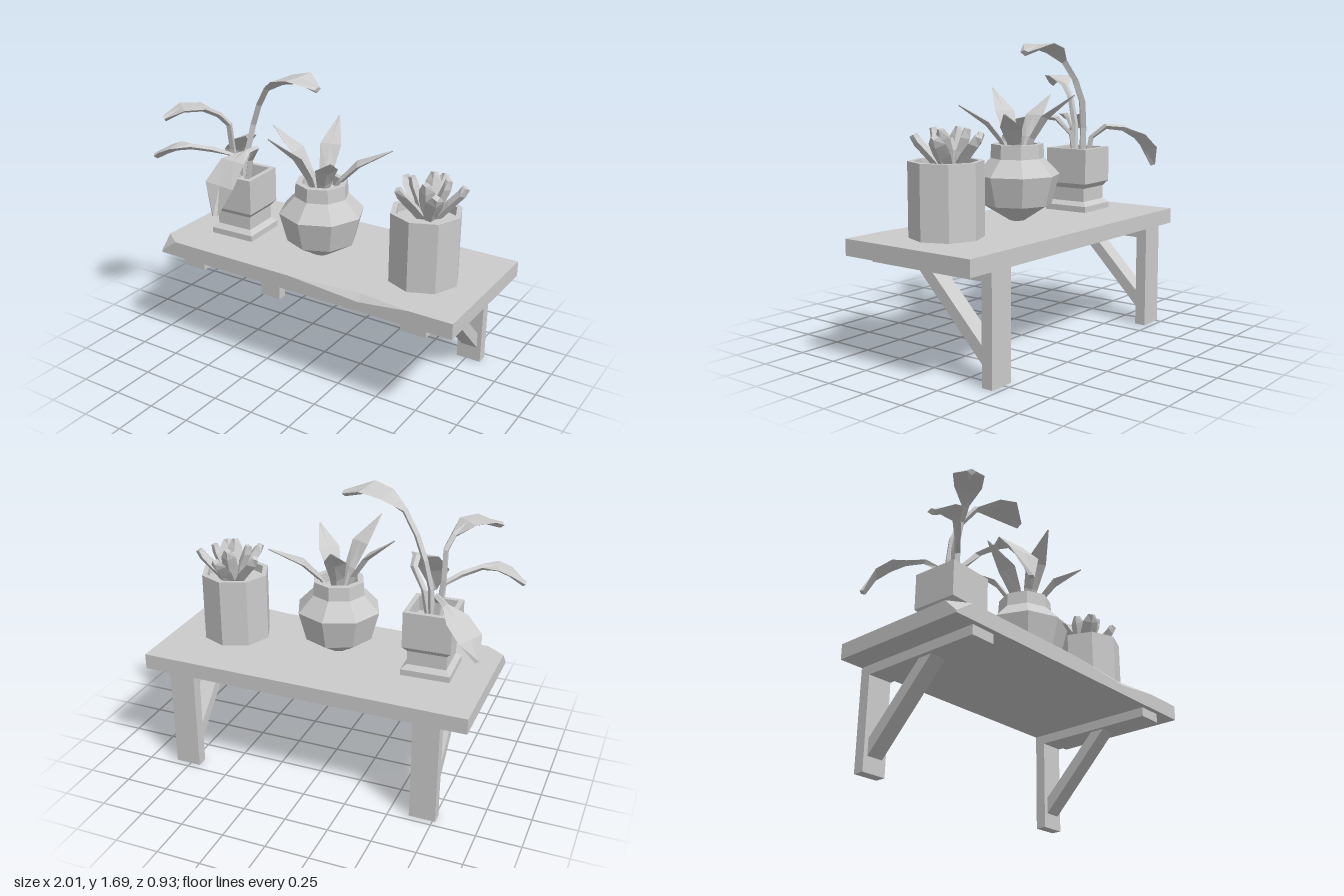
import * as THREE from 'three';

const material = new THREE.MeshStandardMaterial({ color: 0xcccccc, flatShading: true, side: THREE.DoubleSide });
const V = (x, y, z) => new THREE.Vector3(x, y, z);

function add(parent, geometry, name, x = 0, y = 0, z = 0) {
  const mesh = new THREE.Mesh(geometry, material);
  mesh.name = name;
  mesh.position.set(x, y, z);
  parent.add(mesh);
  return mesh;
}

// Geometry from convex or fan-shaped polygons given as corner lists
function fromPolygons(polygons) {
  const verts = [];
  for (const p of polygons) {
    for (let i = 1; i < p.length - 1; i++) {
      for (const v of [p[0], p[i], p[i + 1]]) verts.push(v.x, v.y, v.z);
    }
  }
  const g = new THREE.BufferGeometry();
  g.setAttribute('position', new THREE.Float32BufferAttribute(verts, 3));
  g.computeVertexNormals();
  return g;
}

// Leaf: diamond sections lofted along rows of [x, y, z, halfWidth]
function leafGeometry(rows, thick, fold = 0.2) {
  const pts = rows.map(([x, y, z]) => V(x, y, z));
  const n = pts.length;
  const dir = pts[n - 1].clone().sub(pts[Math.max(0, n - 4)]).setY(0).normalize();
  const side = dir.cross(V(0, 1, 0)).normalize();
  const rings = pts.map((p, i) => {
    const tangent = pts[Math.min(n - 1, i + 1)].clone().sub(pts[Math.max(0, i - 1)]);
    const normal = side.clone().cross(tangent).normalize();
    const w = rows[i][3];
    const t = Math.min(thick, w);
    const at = (s, u) => p.clone().addScaledVector(side, s).addScaledVector(normal, u);
    return [at(w, w * fold), at(0, t), at(-w, w * fold), at(0, -t)];
  });
  const faces = [rings[0], [...rings[n - 1]].reverse()];
  for (let r = 0; r < n - 1; r++) {
    for (let i = 0; i < 4; i++) {
      const j = (i + 1) % 4;
      faces.push([rings[r][i], rings[r + 1][i], rings[r + 1][j], rings[r][j]]);
    }
  }
  return fromPolygons(faces);
}

function lathe(profile, sides) {
  return new THREE.LatheGeometry(profile.map(([r, y]) => new THREE.Vector2(r, y)), sides);
}

// Plank with a broken corner and a chipped front edge
function shelfGeometry() {
  const top = 0.68, low = 0.59, f = 0.38, b = -0.465, l = -0.91, r = 1;
  const backLeft = V(l, top, b), backRight = V(r, top, b), frontRight = V(r, top, f);
  const cutSide = V(l, top, 0.3), cutFront = V(-0.8, top, f), cutLow = V(l, 0.6, f);
  const chipL = V(0, top, f), chipR = V(0.75, top, f), chipIn = V(0.45, top, 0.345), chipLow = V(0.45, 0.645, f);
  const lowBL = V(l, low, b), lowBR = V(r, low, b), lowFL = V(l, low, f), lowFR = V(r, low, f);
  return fromPolygons([
    [backLeft, cutSide, cutFront, chipL, chipIn, chipR, frontRight, backRight],
    [chipLow, chipL, cutFront, cutLow, lowFL, lowFR, frontRight, chipR],
    [cutSide, cutLow, cutFront],
    [chipL, chipLow, chipIn], [chipIn, chipLow, chipR],
    [lowBL, lowFL, cutLow, cutSide, backLeft],
    [lowBR, backRight, frontRight, lowFR],
    [lowBL, backLeft, backRight, lowBR],
    [lowBL, lowBR, lowFR, lowFL],
  ]);
}

// Wall bracket: upright, arm and diagonal brace
function bracket(x) {
  const g = new THREE.Group();
  g.name = 'bracket';
  g.position.x = x;
  add(g, new THREE.BoxGeometry(0.15, 0.59, 0.065), 'upright', 0, 0.295, -0.4325);
  add(g, new THREE.BoxGeometry(0.15, 0.055, 0.75), 'arm', 0, 0.5625, -0.025);
  const shape = new THREE.Shape([[-0.04, 0.535], [0.05, 0.535], [0.4, 0.185], [0.4, 0.09]]
    .map(([u, v]) => new THREE.Vector2(u, v)));
  const brace = new THREE.ExtrudeGeometry(shape, { depth: 0.1, bevelEnabled: false });
  brace.translate(0, 0, -0.05).rotateY(Math.PI / 2);
  add(g, brace, 'brace');
  return g;
}

// Square pot with long-stemmed broad leaves
function broadLeafPlant() {
  const g = new THREE.Group();
  g.name = 'broadLeafPlant';
  const profile = [[0, 0.68], [0.14, 0.68], [0.14, 0.715], [0.112, 0.74], [0.112, 0.82], [0.137, 0.85],
    [0.137, 1.06], [0.11, 1.06], [0.11, 0.97], [0, 0.97]];
  const pot = add(g, lathe(profile.map(([r, y]) => [r * Math.SQRT2, y]), 4), 'squarePot', -0.57, 0, 0);
  pot.rotation.y = Math.PI / 4 + 0.04;
  const leaves = [
    [[-0.57, 0.96, -0.03, 0.025], [-0.56, 1.18, -0.04, 0.024], [-0.525, 1.34, -0.055, 0.024],
      [-0.47, 1.47, -0.04, 0.024], [-0.39, 1.585, -0.01, 0.026], [-0.28, 1.64, 0, 0.095],
      [-0.17, 1.663, 0.005, 0.115], [-0.04, 1.63, 0.01, 0.03]],
    [[-0.58, 0.96, 0.03, 0.022], [-0.605, 1.2, 0.05, 0.02], [-0.6, 1.36, 0.08, 0.02],
      [-0.625, 1.43, 0.14, 0.022], [-0.68, 1.475, 0.21, 0.075], [-0.76, 1.475, 0.29, 0.085],
      [-0.825, 1.435, 0.375, 0.025]],
    [[-0.59, 0.96, 0.04, 0.022], [-0.6, 1.17, 0.06, 0.02], [-0.68, 1.21, 0.14, 0.02],
      [-0.77, 1.235, 0.22, 0.025], [-0.85, 1.225, 0.26, 0.075], [-0.92, 1.195, 0.275, 0.075],
      [-1.0, 1.15, 0.275, 0.025]],
    [[-0.59, 0.96, -0.05, 0.022], [-0.61, 1.12, -0.07, 0.02], [-0.63, 1.19, -0.16, 0.02],
      [-0.7, 1.18, -0.24, 0.025], [-0.77, 1.13, -0.29, 0.085], [-0.85, 1.05, -0.32, 0.09],
      [-0.905, 0.945, -0.335, 0.02]],
    [[-0.55, 0.96, 0, 0.022], [-0.51, 1.14, 0.01, 0.02], [-0.43, 1.24, 0.06, 0.022],
      [-0.405, 1.255, 0.18, 0.025], [-0.42, 1.22, 0.28, 0.085], [-0.435, 1.11, 0.38, 0.105],
      [-0.435, 0.955, 0.445, 0.02]],
  ];
  for (const rows of leaves) add(g, leafGeometry(rows, 0.018), 'broadLeaf');
  return g;
}

// Round vase with spiky leaves
function spikyPlant() {
  const g = new THREE.Group();
  g.name = 'spikyPlant';
  const cz = 0.03;
  add(g, lathe([[0, 0.68], [0.045, 0.68], [0.2, 0.775], [0.245, 0.945], [0.155, 1.04], [0.15, 1.12],
    [0.115, 1.12], [0.115, 1.06], [0, 1.06]], 8), 'vase', 0, 0, cz);
  const tips = [[-0.145, 1.425, 0.33], [0.22, 1.34, 0.28], [0.345, 1.31, -0.15], [-0.09, 1.4, -0.3], [-0.325, 1.39, 0.03]];
  for (const [x, y, z] of tips) {
    const at = (t, h, w) => [x * t, 1.05 + (y - 1.05) * h, cz + (z - cz) * t, w];
    add(g, leafGeometry([at(0.15, 0, 0.03), at(0.28, 0.3, 0.042), at(0.52, 0.64, 0.062), at(1, 1, 0.004)], 0.014),
      'spikyLeaf');
  }
  return g;
}

// Octagonal pot with a rosette of thick blunt leaves
function succulentPlant() {
  const g = new THREE.Group();
  g.name = 'succulentPlant';
  g.position.set(0.64, 0, 0);
  add(g, lathe([[0, 0.68], [0.2, 0.68], [0.2, 1.08], [0.17, 1.08], [0.17, 1.03], [0, 1.03]], 8), 'octagonalPot');
  const ring = (count, turn, reach, height, width) => {
    for (let i = 0; i < count; i++) {
      const a = turn + (i / count) * Math.PI * 2;
      const at = (r, y, w) => [Math.sin(a) * r, y, Math.cos(a) * r - 0.03, w];
      const rise = height - 1.02;
      add(g, leafGeometry([at(0.03, 1.02, width * 0.6), at(reach * 0.6, 1.02 + rise * 0.5, width),
        at(reach * 0.88, 1.02 + rise * 0.8, width * 0.95), at(reach, height, width * 0.45)], 0.026, 0.15),
      'succulentLeaf');
    }
  };
  ring(5, Math.PI, 0.19, 1.215, 0.05);
  ring(4, 0.25, 0.1, 1.25, 0.045);
  // Closed centre bud
  add(g, lathe([[0, 1.02], [0.045, 1.04], [0.05, 1.14], [0.02, 1.2], [0, 1.2]], 4), 'centreBud', 0, 0, -0.03);
  return g;
}

export function createModel() {
  const model = new THREE.Group();
  model.name = 'plantShelf';
  add(model, shelfGeometry(), 'shelfBoard');
  model.add(bracket(-0.69), bracket(0.765));
  model.add(broadLeafPlant(), spikyPlant(), succulentPlant());
  return model;
}
